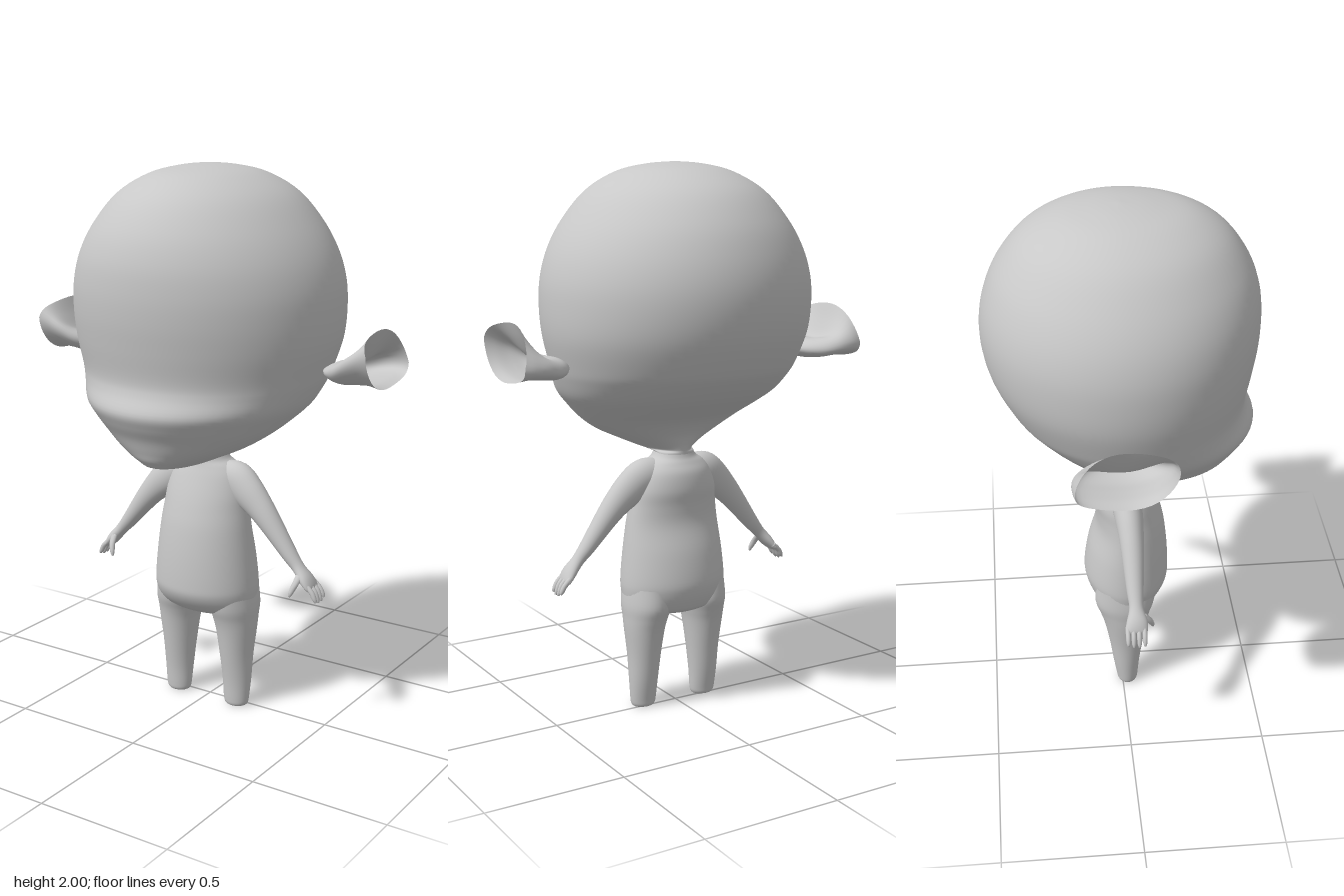
import * as THREE from 'three';

const skin = new THREE.MeshStandardMaterial({ color: 0xc8c8c8, side: THREE.DoubleSide });
skin.name = 'plain grey skin';

// Catmull-Rom resampling of rows of numbers
const blend = (a, b, c, d, t) =>
  b + 0.5 * t * (c - a + t * (2 * a - 5 * b + 4 * c - d + t * (3 * (b - c) + d - a)));
function smoothRows(rows, steps) {
  const out = [], last = rows.length - 1;
  for (let i = 0; i < last; i++) {
    const [p, q, r, s] = [rows[Math.max(i - 1, 0)], rows[i], rows[i + 1], rows[Math.min(i + 2, last)]];
    for (let k = 0; k < steps; k++) out.push(q.map((v, j) => blend(p[j], v, r[j], s[j], k / steps)));
  }
  out.push(rows[last]);
  return out;
}

// Skin closed rings of points into a tube; mirror flips it to -x
function loft(rings, { capStart = false, capEnd = false, mirror = false } = {}) {
  const n = rings[0].length, pos = [], index = [];
  const add = (p) => pos.push(mirror ? -p[0] : p[0], p[1], p[2]) / 3 - 1;
  const tri = (a, b, c) => (mirror ? index.push(a, c, b) : index.push(a, b, c));
  rings.forEach((ring) => ring.forEach(add));
  for (let i = 0; i < rings.length - 1; i++) {
    for (let j = 0; j < n; j++) {
      const a = i * n + j, b = i * n + (j + 1) % n;
      tri(a, b, a + n);
      tri(b, b + n, a + n);
    }
  }
  const centre = (ring) => [0, 1, 2].map((k) => ring.reduce((s, p) => s + p[k], 0) / n);
  if (capStart) {
    const c = add(centre(rings[0]));
    for (let j = 0; j < n; j++) tri(c, (j + 1) % n, j);
  }
  if (capEnd) {
    const c = add(centre(rings[rings.length - 1])), o = (rings.length - 1) * n;
    for (let j = 0; j < n; j++) tri(c, o + j, o + (j + 1) % n);
  }
  const geo = new THREE.BufferGeometry();
  geo.setAttribute('position', new THREE.Float32BufferAttribute(pos, 3));
  geo.setIndex(index);
  geo.computeVertexNormals();
  return geo;
}

const ringOf = (n, f) => Array.from({ length: n }, (_, j) => {
  const t = (j / n) * Math.PI * 2;
  return f(Math.cos(t), Math.sin(t));
});

// Horizontal sections, top to bottom: [y, x centre, half width, z centre, z front, z back]
const column = (rows, n, steps, options) =>
  loft(smoothRows(rows, steps).map(([y, xc, w, zc, zf, zb]) =>
    ringOf(n, (c, s) => [xc + w * c, y, zc + s * (s > 0 ? zf - zc : zc - zb)])), options);

// Sections along a path: [x, y, z, radius, radius in z]
function limb(rows, n, steps, mirror) {
  const path = smoothRows(rows, steps);
  const rings = path.map(([x, y, z, r, rz], i) => {
    const a = path[Math.max(i - 1, 0)], b = path[Math.min(i + 1, path.length - 1)];
    const dx = b[0] - a[0], dy = b[1] - a[1], l = Math.hypot(dx, dy);
    return ringOf(n, (c, s) => [x - (dy / l) * r * c, y + (dx / l) * r * c, z + rz * s]);
  });
  return loft(rings, { capStart: true, capEnd: true, mirror });
}

const headRows = [
  [2.0, 0, 0.01, 0, 0.01, -0.01], [1.992, 0, 0.1, 0, 0.12, -0.1],
  [1.965, 0, 0.2, 0, 0.25, -0.215], [1.9, 0, 0.307, 0, 0.358, -0.33],
  [1.8, 0, 0.393, 0, 0.433, -0.412], [1.7, 0, 0.451, 0, 0.47, -0.457],
  [1.6, 0, 0.482, 0, 0.48, -0.478], [1.5, 0, 0.49, 0, 0.475, -0.475],
  [1.4, 0, 0.483, 0, 0.46, -0.45], [1.3, 0, 0.457, 0.01, 0.443, -0.4],
  [1.25, 0, 0.44, 0.02, 0.45, -0.36], [1.19, 0, 0.41, 0.035, 0.477, -0.29],
  [1.14, 0, 0.365, 0.06, 0.457, -0.21], [1.09, 0, 0.31, 0.1, 0.425, -0.13],
  [1.04, 0, 0.235, 0.14, 0.402, -0.085], [1.0, 0, 0.15, 0.16, 0.38, -0.067],
  [0.975, 0, 0.095, 0.14, 0.33, -0.061], [0.965, 0, 0.075, 0.02, 0.1, -0.06],
  [0.952, 0, 0.075, 0.015, 0.088, -0.06],
];
const torsoRows = [
  [0.965, 0, 0.072, 0.015, 0.086, -0.058], [0.945, 0, 0.085, 0.012, 0.09, -0.064],
  [0.925, 0, 0.115, 0.01, 0.096, -0.076], [0.89, 0, 0.142, 0.01, 0.11, -0.094],
  [0.83, 0, 0.162, 0.01, 0.132, -0.1], [0.77, 0, 0.17, 0.015, 0.15, -0.092],
  [0.7, 0, 0.18, 0.02, 0.166, -0.093], [0.6, 0, 0.193, 0.02, 0.178, -0.12],
  [0.5, 0, 0.203, 0.02, 0.183, -0.135], [0.45, 0, 0.203, 0.02, 0.179, -0.131],
  [0.405, 0, 0.192, 0.02, 0.152, -0.114], [0.375, 0, 0.155, 0.02, 0.115, -0.092],
  [0.355, 0, 0.07, 0.015, 0.06, -0.04],
];
const legRows = [
  [0.47, 0.115, 0.082, 0.02, 0.13, -0.1], [0.4, 0.117, 0.088, 0.02, 0.122, -0.103],
  [0.35, 0.122, 0.081, 0.017, 0.106, -0.086], [0.3, 0.126, 0.074, 0.015, 0.095, -0.07],
  [0.2, 0.1275, 0.0625, 0.014, 0.08, -0.05], [0.1, 0.13, 0.055, 0.015, 0.066, -0.035],
  [0.03, 0.13, 0.05, 0.018, 0.06, -0.023], [0.008, 0.13, 0.046, 0.019, 0.057, -0.019],
  [0, 0.13, 0.038, 0.019, 0.05, -0.012], [0.008, 0.13, 0.032, 0.019, 0.044, -0.006],
];
const armRows = [
  [0.07, 0.885, 0.01, 0.055, 0.05], [0.125, 0.877, 0.012, 0.067, 0.055],
  [0.175, 0.84, 0.018, 0.064, 0.052], [0.225, 0.795, 0.022, 0.053, 0.046],
  [0.272, 0.743, 0.024, 0.043, 0.041], [0.352, 0.643, 0.025, 0.029, 0.031],
  [0.392, 0.597, 0.026, 0.022, 0.026], [0.425, 0.56, 0.026, 0.021, 0.038],
  [0.446, 0.533, 0.022, 0.014, 0.041], [0.452, 0.525, 0.021, 0.006, 0.034],
];
const thumbRows = [
  [0.412, 0.578, 0.045, 0.014, 0.014], [0.406, 0.548, 0.07, 0.012, 0.012],
  [0.397, 0.52, 0.083, 0.009, 0.009], [0.392, 0.504, 0.087, 0.004, 0.004],
];
const fingerRows = (z, len) => [
  [0.436, 0.546, z, 0.01, 0.009], [0.462, 0.522, z, 0.0095, 0.009],
  [0.474, 0.518 - len * 0.6, z, 0.0085, 0.008], [0.48, 0.518 - len, z, 0.004, 0.004],
];

// Ear sections outward: [x, y bottom, y top, z back, z front, hollow depth]
const earRows = [
  [0.462, 1.31, 1.325, -0.06, 0, 0], [0.48, 1.293, 1.337, -0.105, 0.03, 0],
  [0.51, 1.28, 1.355, -0.15, 0.062, 0.006], [0.55, 1.275, 1.38, -0.185, 0.098, 0.03],
  [0.6, 1.28, 1.415, -0.205, 0.12, 0.065], [0.65, 1.282, 1.445, -0.207, 0.127, 0.035],
  [0.687, 1.273, 1.472, -0.2, 0.13, 0],
];
function ear(mirror) {
  const rings = smoothRows(earRows, 5).map(([x, y0, y1, zb, zf, dent]) => {
    const k = (x - 0.46) / 0.23;
    return ringOf(40, (c, s) => {
      const up = Math.max(c, 0);
      const z = (zb + zf) / 2 + s * (zf - zb) / 2;
      const y = (y0 + y1) / 2 + c * (y1 - y0) / 2 - dent * up ** 3;
      return [x - 0.03 * up * k * k, y + 0.22 * k * (z + 0.035) * (1 - c * c), z];
    });
  });
  return loft(rings, { capStart: true, mirror });
}

export function createModel() {
  const model = new THREE.Group();
  model.name = 'figure';
  const part = (name, geo, parent = model) => {
    const mesh = new THREE.Mesh(geo, skin);
    mesh.name = name;
    parent.add(mesh);
  };

  part('head', column(headRows, 72, 5, { capStart: true }));
  part('torso', column(torsoRows, 56, 5, { capEnd: true }));

  for (const mirror of [false, true]) {
    const side = mirror ? 'right' : 'left';
    part(side + 'Ear', ear(mirror));
    part(side + 'Leg', column(legRows, 36, 5, { capEnd: true, mirror }));
    part(side + 'Arm', limb(armRows, 28, 5, mirror));

    // Thumb and four fingers
    const hand = new THREE.Group();
    hand.name = side + 'Fingers';
    model.add(hand);
    part(side + 'Thumb', limb(thumbRows, 12, 4, mirror), hand);
    [[0.051, 0.03], [0.031, 0.036], [0.011, 0.035], [-0.009, 0.027]].forEach(([z, len], i) =>
      part(side + 'Finger' + (i + 1), limb(fingerRows(z, len), 12, 4, mirror), hand));
  }
  return model;
}
